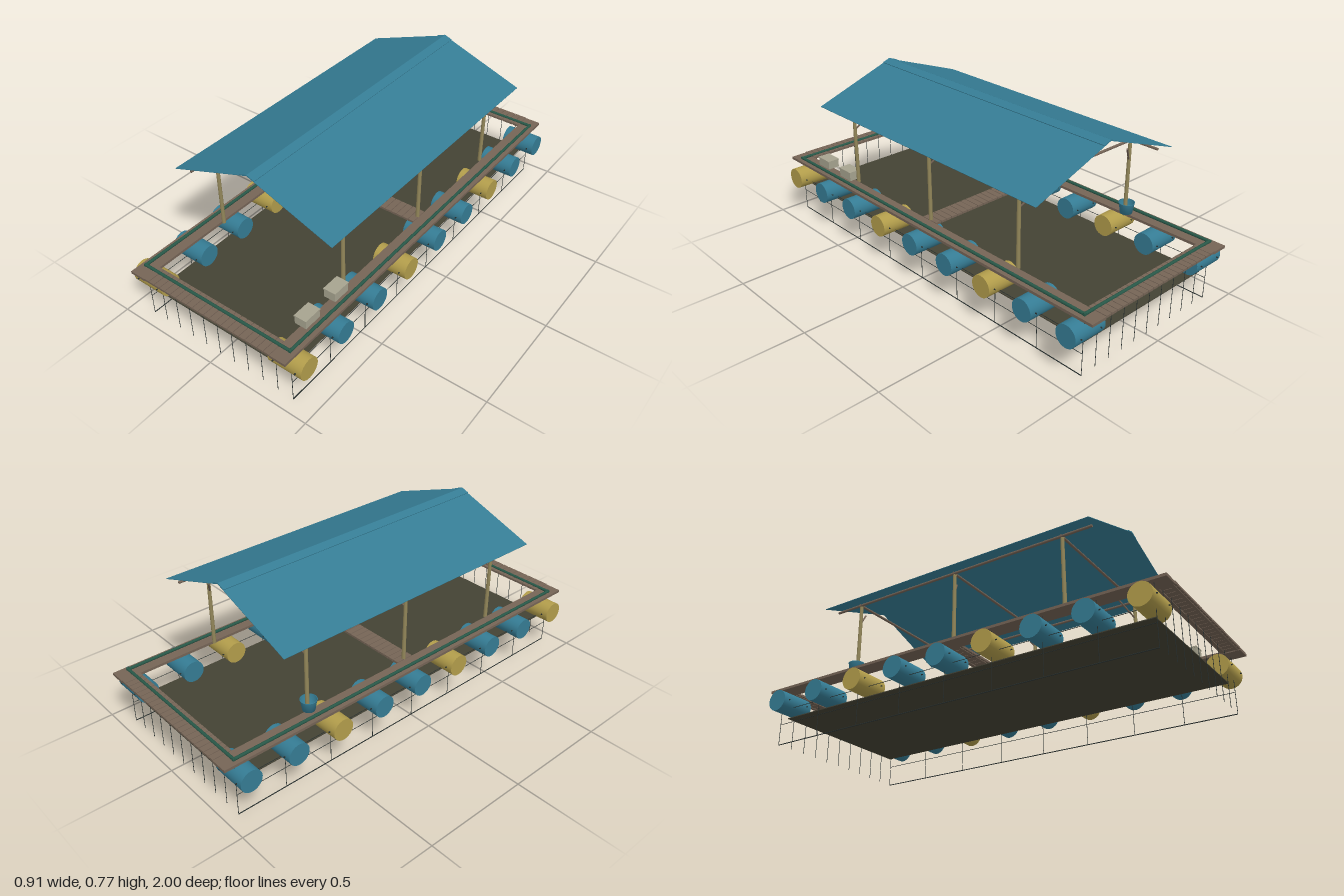
import * as THREE from 'three';

const mat = (name, color, double = false) => {
  const m = new THREE.MeshStandardMaterial({ color });
  m.name = name;
  if (double) m.side = THREE.DoubleSide;
  return m;
};

export function createModel() {
  const root = new THREE.Group();
  root.name = 'floatingFishFarm';

  const blue = mat('bluePlastic', 0x357c94, true);
  const yellow = mat('yellowPlastic', 0xb29d4b);
  const wood = mat('brownWood', 0x756456);
  const bamboo = mat('bamboo', 0x928659);
  const green = mat('greenRope', 0x285848);
  const dark = mat('darkCord', 0x28302f);
  const sheet = mat('netFloor', 0x444234);
  const foam = mat('paleCrate', 0xa6a38f);

  const group = (name) => {
    const g = new THREE.Group();
    g.name = name;
    root.add(g);
    return g;
  };
  const add = (parent, name, geo, material, x = 0, y = 0, z = 0) => {
    const m = new THREE.Mesh(geo, material);
    m.name = name;
    m.position.set(x, y, z);
    parent.add(m);
    return m;
  };
  const box = (parent, name, material, w, h, d, x, y, z) =>
    add(parent, name, new THREE.BoxGeometry(w, h, d), material, x, y, z);
  // Round pole between two points
  const pole = (parent, name, material, a, b, r0, r1 = r0, sides = 8) => {
    const p = new THREE.Vector3(...a), q = new THREE.Vector3(...b);
    const dir = q.clone().sub(p);
    const m = add(parent, name, new THREE.CylinderGeometry(r1, r0, dir.length(), sides), material);
    m.position.copy(p).add(q).multiplyScalar(0.5);
    m.quaternion.setFromUnitVectors(new THREE.Vector3(0, 1, 0), dir.normalize());
    return m;
  };

  // Walkway: long side boards, planked ends and a planked crosswalk
  const deck = group('walkway');
  for (const s of [-1, 1]) box(deck, 'sideBoard', wood, 0.077, 0.012, 2, s * 0.3765, 0.266, 0);
  const planks = 22, pitch = 0.68 / planks;
  for (const [z, depth] of [[0.957, 0.086], [0, 0.086], [-0.957, 0.086]]) {
    for (let i = 0; i < planks; i++) {
      box(deck, 'plank', wood, pitch - 0.003, 0.01, depth, -0.34 + (i + 0.5) * pitch, 0.27, z);
    }
    for (const dz of [-0.028, 0.028]) {
      box(deck, 'plankBearer', wood, 0.68, 0.004, 0.012, 0, 0.264, z + dz);
    }
  }

  // Barrel floats lying across both sides, every third one yellow
  const half = 0.0825;
  const barrelGeo = new THREE.CylinderGeometry(0.05, 0.05, half * 2, 28);
  barrelGeo.rotateZ(Math.PI / 2);
  const floats = group('floats');
  for (let i = 0; i < 9; i++) {
    const z = 0.91 - i * 0.2275;
    for (const s of [-1, 1]) {
      add(floats, 'barrel', barrelGeo, i % 3 === 0 ? yellow : blue, s * 0.3725, 0.195, z);
      for (const dx of [-0.055, 0.055]) {
        const x = s * 0.3725 + dx;
        pole(floats, 'barrelPin', dark, [x, 0.195, z - 0.056], [x, 0.195, z + 0.056], 0.003, 0.003, 6);
      }
    }
  }

  // Net: floor sheet, rim rope, hanging cords and side lines
  const net = group('net');
  box(net, 'netFloor', sheet, 0.73, 0.004, 1.85, 0, 0.136, 0);
  const nx = 0.39, nz = 0.94;
  for (const s of [-1, 1]) {
    pole(net, 'rimRopeSide', green, [s * nx, 0.277, -nz - 0.006], [s * nx, 0.277, nz + 0.006], 0.007);
    pole(net, 'rimRopeEnd', green, [-nx - 0.006, 0.277, s * nz], [nx + 0.006, 0.277, s * nz], 0.007);
    for (let i = 0; i <= 10; i++) {
      const x = -nx + i * nx / 5;
      pole(net, 'endCord', dark, [x, 0.004, s * nz], [x, 0.275, s * nz], 0.0013, 0.0013, 5);
    }
    for (let i = 1; i < 8; i++) {
      const z = -nz + i * nz / 4;
      pole(net, 'sideCord', dark, [s * nx, 0.004, z], [s * nx, 0.275, z], 0.0013, 0.0013, 5);
    }
    for (const [y, r] of [[0.0022, 0.0022], [0.1, 0.0013], [0.17, 0.0013]]) {
      pole(net, 'sideLine', dark, [s * nx, y, -nz], [s * nx, y, nz], r, r, 5);
    }
  }

  // Shelter frame: posts, braces, tie beams and eave beams
  const frame = group('shelterFrame');
  for (const z of [-0.54, 0, 0.54]) {
    for (const s of [-1, 1]) {
      pole(frame, 'post', bamboo, [s * 0.331, 0.268, z], [s * 0.333, 0.63, z], 0.009, 0.008, 12);
      pole(frame, 'brace', wood, [s * 0.33, 0.537, z], [s * 0.25, 0.624, z - 0.05], 0.004);
    }
    pole(frame, 'tieBeam', wood, [-0.345, 0.626, z], [0.345, 0.626, z], 0.006);
  }
  for (const s of [-1, 1]) {
    pole(frame, 'eaveBeam', wood, [s * 0.338, 0.626, -0.68], [s * 0.338, 0.626, 0.68], 0.006);
  }

  // Pitched roof sheets and ridge cap
  const roof = group('roof');
  const slope = Math.atan2(0.145, 0.407);
  const slant = Math.hypot(0.145, 0.407);
  for (const s of [-1, 1]) {
    const panel = box(roof, 'roofSheet', blue, slant, 0.002, 1.4, s * 0.2035, 0.6955, 0);
    panel.rotation.z = -s * slope;
    const cap = box(roof, 'ridgeCap', blue, 0.04, 0.003, 1.4, s * 0.0188, 0.7645, 0);
    cap.rotation.z = -s * slope;
  }

  // Bucket at the rear right post
  const pail = [[0.001, 0.003], [0.027, 0.003], [0.035, 0.052], [0.037, 0.054], [0.034, 0.054]]
    .map(([r, y]) => new THREE.Vector2(r, y));
  add(group('bucketGroup'), 'bucket', new THREE.LatheGeometry(pail, 24), blue, -0.34, 0.274, -0.54);

  // Crates on the left walkway
  const crates = group('crates');
  for (const [z, h] of [[0.778, 0.042], [0.598, 0.044]]) {
    box(crates, 'crate', foam, 0.056, h - 0.006, 0.084, 0.34, 0.275 + h / 2 - 0.003, z);
    box(crates, 'crateLid', foam, 0.06, 0.006, 0.088, 0.34, 0.275 + h - 0.003, z);
  }

  return root;
}
